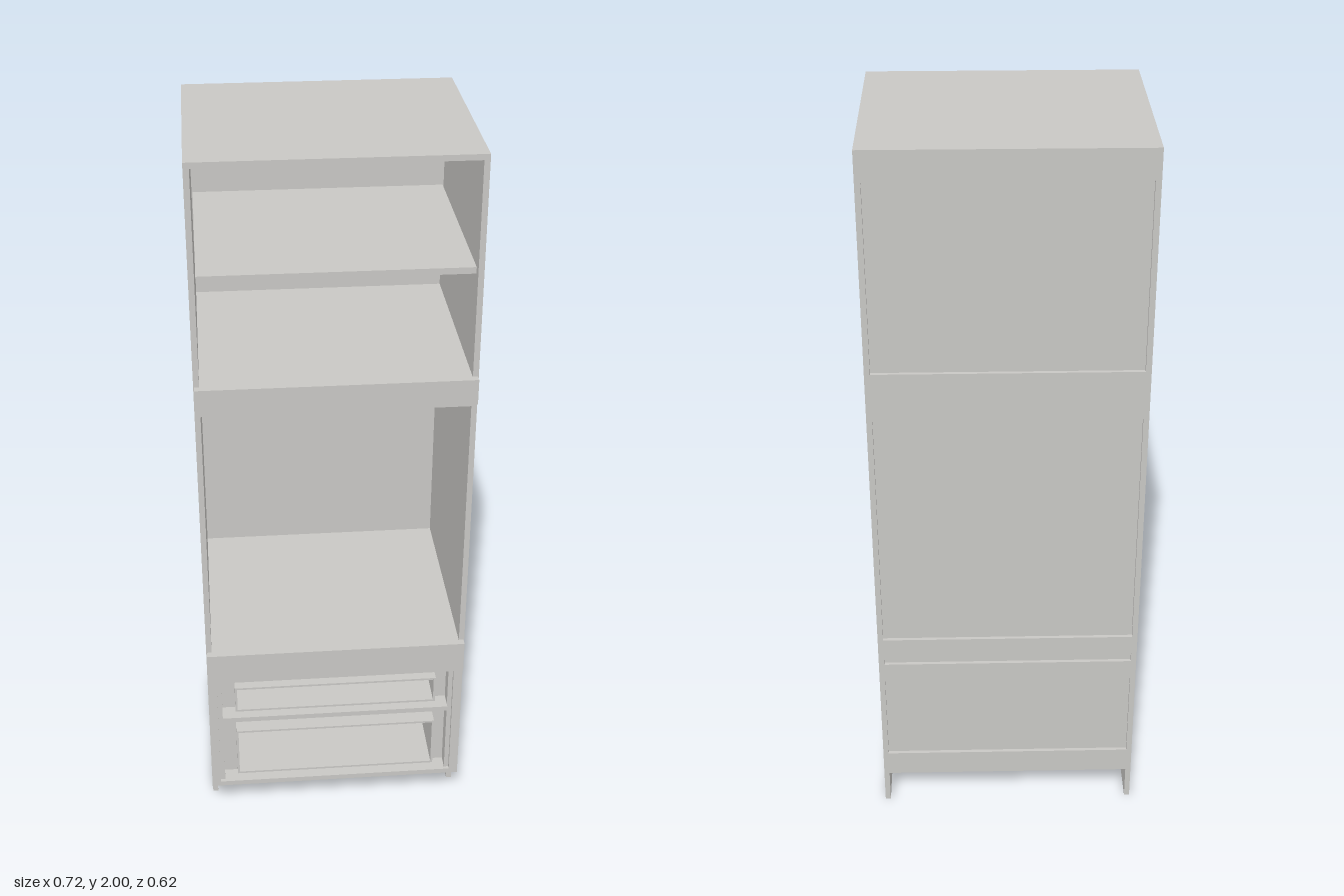
import * as THREE from 'three';

export function createModel() {
  const group = new THREE.Group();
  group.name = 'tallOvenCabinet';
  const board = new THREE.MeshStandardMaterial({ color: 0xc8c7c4 });
  board.name = 'board grey';

  const add = (name, geometry) => {
    const mesh = new THREE.Mesh(geometry, board);
    mesh.name = name;
    group.add(mesh);
    return mesh;
  };
  // Box given by its limits on each axis
  const box = (name, x0, x1, y0, y1, z0, z1) => {
    const mesh = add(name, new THREE.BoxGeometry(x1 - x0, y1 - y0, z1 - z0));
    mesh.position.set((x0 + x1) / 2, (y0 + y1) / 2, (z0 + z1) / 2);
    return mesh;
  };
  // Rectangular ring facing the front
  const ring = (name, w, y0, y1, iw, iy0, iy1, z0, z1) => {
    const rect = (C, a, b, c) => new C([[-a, b], [a, b], [a, c], [-a, c]].map((p) => new THREE.Vector2(...p)));
    const shape = rect(THREE.Shape, w, y0, y1);
    shape.holes.push(rect(THREE.Path, iw, iy0, iy1));
    add(name, new THREE.ExtrudeGeometry(shape, { depth: z1 - z0, bevelEnabled: false })).position.z = z0;
  };

  const W = 0.36, T = 0.015, IN = W - T, BACK = -0.31, FRONT = 0.29;

  // Side panels with the toe notch
  const side = new THREE.Shape([[BACK, 0], [0.2, 0], [0.2, 0.1], [FRONT, 0.1], [FRONT, 2], [BACK, 2]]
    .map((p) => new THREE.Vector2(...p)));
  for (const [name, x] of [['leftSide', IN], ['rightSide', -W]]) {
    const mesh = add(name, new THREE.ExtrudeGeometry(side, { depth: T, bevelEnabled: false }));
    mesh.rotation.y = -Math.PI / 2;
    mesh.position.x = x + T;
  }

  // Fixed horizontal panels
  box('top', -IN, IN, 2 - T, 2, BACK, FRONT);
  box('bottom', -IN, IN, 0.1, 0.1 + T, BACK, FRONT);
  for (const y of [0.485, 0.57, 1.33, 1.398]) box('fixedShelf', -IN, IN, y, y + T, -0.3, FRONT);
  box('looseShelf', -0.342, 0.342, 1.693, 1.71, -0.285, 0.28);

  // Recessed back and the rails behind it
  box('backPanel', -IN, IN, 0.1 + T, 2 - T, -0.3, -0.287);
  for (const [y0, y1] of [[0.1, 0.175], [0.44, 0.5], [0.527, 0.585], [1.28, 1.415], [1.92, 2]])
    box('backRail', -IN, IN, y0, y1, BACK, -0.3);

  // Front rails standing proud of the carcass
  box('lowerFrontRail', -0.358, 0.358, 0.493, 0.587, FRONT, 0.31);
  box('upperFrontRail', -0.358, 0.358, 1.345, 1.415, FRONT, 0.31);

  // Drawer surround
  for (const s of [-1, 1]) {
    box('drawerFiller', Math.min(s * 0.335, s * IN), Math.max(s * 0.335, s * IN), 0.115, 0.485, -0.28, FRONT);
    box('drawerRunner', Math.min(s * 0.322, s * 0.335), Math.max(s * 0.322, s * 0.335), 0.115, 0.485, -0.28, 0.28);
  }
  box('drawerDivider', -0.322, 0.322, 0.335, 0.35, -0.28, FRONT);

  // Drawer openings: recessed frame and a thin-walled sleeve
  for (const [y0, y1, a, b] of [[0.115, 0.335, 0.143, 0.3], [0.35, 0.485, 0.373, 0.456]]) {
    ring('drawerFrame', 0.322, y0, y1, 0.285, a, b, 0.225, 0.24);
    ring('drawerSleeve', 0.285, a, b, 0.279, a + 0.006, b - 0.006, -0.28, FRONT);
  }
  return group;
}
